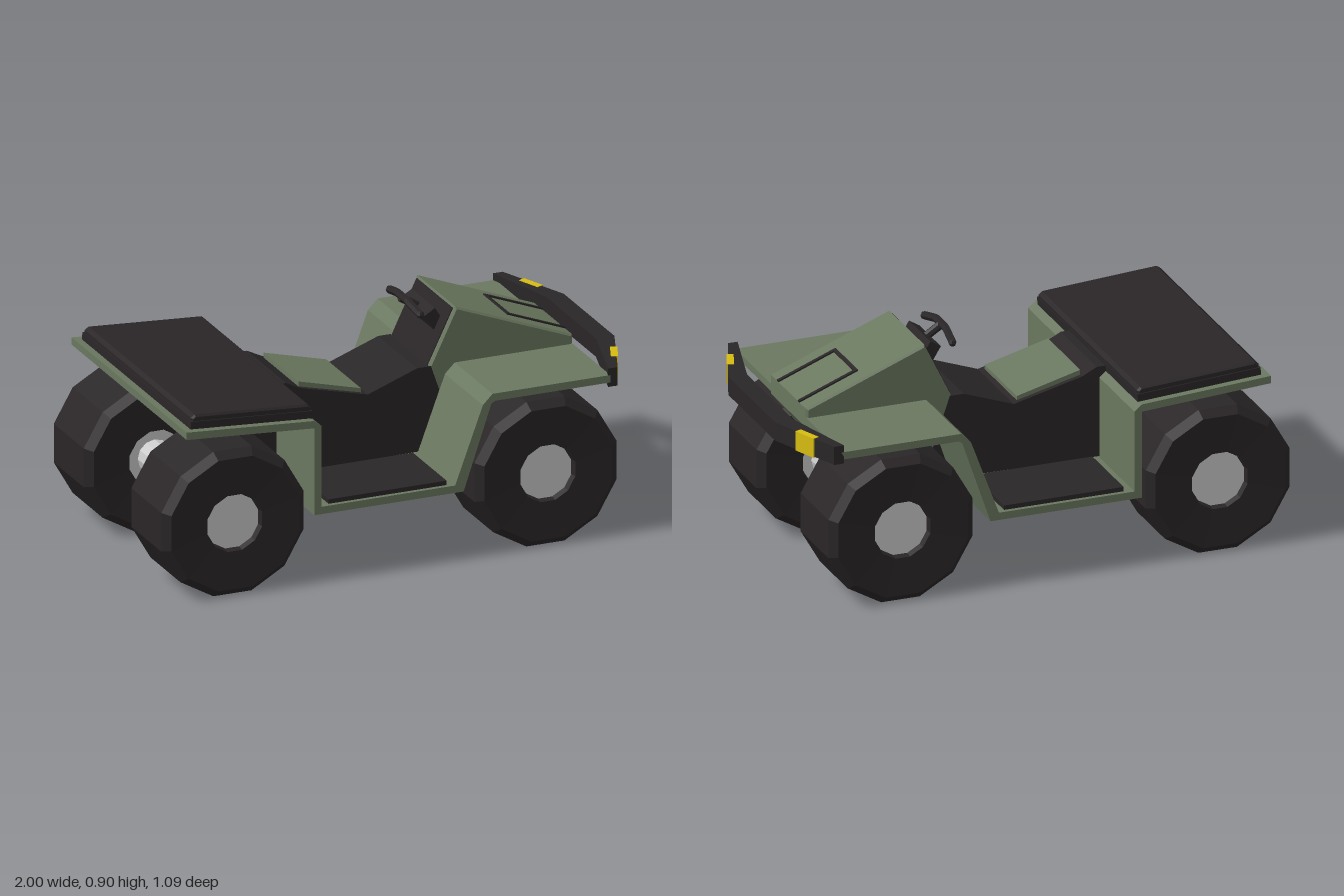
import * as THREE from 'three';

const mat = (color) => new THREE.MeshStandardMaterial({ color, flatShading: true });

export function createModel() {
  const model = new THREE.Group();
  model.name = 'quadVehicle';
  const green = mat(0x6b7860), dark = mat(0x2a2628), grey = mat(0xcccccc);
  const yellow = mat(0xd8bd12), red = mat(0x8a1414);

  const add = (name, geometry, material, parent = model) => {
    const mesh = new THREE.Mesh(geometry, material);
    mesh.name = name;
    parent.add(mesh);
    return mesh;
  };
  const shapeOf = (pts) => new THREE.Shape(pts.map(([x, y]) => new THREE.Vector2(x, y)));
  // Side profile (x, y) extruded over a width centred on z, with an optional chamfer
  const prism = (pts, width, bevel = 0) => new THREE.ExtrudeGeometry(shapeOf(pts), {
    depth: width - 2 * bevel, bevelEnabled: bevel > 0, bevelSize: bevel, bevelOffset: -bevel,
    bevelThickness: bevel, bevelSegments: 1,
  }).translate(0, 0, bevel - width / 2);
  const box = (name, size, pos, material, tilt = 0) => {
    const mesh = add(name, new THREE.BoxGeometry(...size), material);
    mesh.position.set(...pos);
    mesh.rotation.z = tilt;
    return mesh;
  };

  // Bent body panel: rear deck, rear wall, floor, front slope and front fenders
  add('bodyPanel', prism([
    [-0.91, 0.70], [-0.38, 0.665], [-0.35, 0.64], [-0.35, 0.31], [0.205, 0.31],
    [0.32, 0.62], [0.36, 0.66], [0.85, 0.66], [0.85, 0.63], [0.37, 0.63], [0.355, 0.62],
    [0.24, 0.28], [-0.38, 0.28], [-0.38, 0.635], [-0.91, 0.67],
  ], 1.09), green);

  // Central chassis with the saddle on top
  add('chassis', prism([
    [-0.62, 0.63], [-0.39, 0.63], [-0.375, 0.685], [-0.34, 0.685], [-0.28, 0.655], [0, 0.585],
    [0.205, 0.66], [0.36, 0.66], [0.55, 0.44], [0.55, 0.36], [0.31, 0.32], [-0.45, 0.315],
    [-0.62, 0.36],
  ], 0.37), dark);
  add('seatPad', prism([
    [-0.28, 0.675], [-0.02, 0.607], [-0.02, 0.58], [-0.28, 0.645],
  ], 0.33), green);

  // Hood and nose, with a dark dashboard on the rear face
  add('hood', prism([
    [0.255, 0.66], [0.365, 0.886], [0.85, 0.697], [0.85, 0.62], [0.71, 0.44], [0.33, 0.44],
  ], 0.372, 0.008), green);
  add('dashboard', prism([
    [0.25, 0.655], [0.357, 0.878], [0.367, 0.875], [0.265, 0.655],
  ], 0.34), dark);

  // Hatch outline on the hood
  const slope = Math.atan2(-0.189, 0.485);
  const hoodY = (x) => 0.886 + (x - 0.365) * Math.tan(slope);
  for (const s of [-1, 1]) {
    box('hatchEdge', [0.258, 0.012, 0.015], [0.73, hoodY(0.73), s * 0.107], dark, slope);
  }
  box('hatchEdge', [0.015, 0.012, 0.228], [0.616, hoodY(0.616), 0], dark, slope);

  // Cargo bed cover in two layers
  const deckTilt = Math.atan2(-0.035, 0.53);
  box('cargoBase', [0.505, 0.035, 1.03], [-0.628, 0.694, 0], dark, deckTilt);
  const cover = add('cargoCover', prism([
    [-0.25, 0], [-0.25, 0.025], [-0.235, 0.037], [0.235, 0.037], [0.25, 0.025], [0.25, 0],
  ], 1.02, 0.008), dark);
  cover.position.set(-0.627, 0.699, 0);
  cover.rotation.z = deckTilt;

  // Steering column, instrument pod and handlebar
  const column = add('steeringColumn', new THREE.CylinderGeometry(0.017, 0.017, 0.14, 8), dark);
  column.position.set(0.275, 0.845, 0);
  column.rotation.z = 1.0;
  box('instrumentPod', [0.05, 0.075, 0.22], [0.31, 0.818, 0], dark, 0.55);
  const barPath = new THREE.CurvePath();
  const barPts = [[0.235, 0.86, -0.145], [0.225, 0.883, -0.05], [0.225, 0.883, 0.05], [0.235, 0.86, 0.145]]
    .map((p) => new THREE.Vector3(...p));
  for (let i = 0; i < 3; i++) barPath.add(new THREE.LineCurve3(barPts[i], barPts[i + 1]));
  add('handlebar', new THREE.TubeGeometry(barPath, 12, 0.016, 6), dark);
  for (const s of [-1, 1]) {
    add('gripEnd', new THREE.SphereGeometry(0.016, 6, 4), dark).position.set(0.235, 0.86, s * 0.145);
  }

  // Front bumper, drawn in plan
  const bumper = new THREE.ExtrudeGeometry(shapeOf([
    [0.84, -0.545], [0.88, -0.545], [1, -0.24], [1, 0.24], [0.88, 0.545], [0.84, 0.545],
    [0.925, 0.235], [0.925, -0.235],
  ]), { depth: 0.075, bevelEnabled: false });
  add('bumper', bumper.rotateX(Math.PI / 2).translate(0, 0.688, 0), dark);

  for (const s of [-1, 1]) {
    // Headlights wrap the angled ends of the bumper
    const light = box('headlight', [0.028, 0.079, 0.1], [0.931, 0.6505, s * 0.394], yellow);
    light.rotation.y = -s * Math.atan2(0.12, 0.305);
    // Foot mats and tail lights
    box('footMat', [0.49, 0.02, 0.32], [-0.068, 0.318, s * 0.367], dark);
    box('tailLight', [0.02, 0.06, 0.08], [-0.625, 0.47, s * 0.11], red);
  }

  // Wheels: faceted tyre ring with a recessed grey hub
  const R = 0.295 / Math.cos(Math.PI / 12);
  const tyreProfile = [
    [0.11, -0.13], [0.118, -0.165], [R - 0.03, -0.172], [R, -0.142], [R, 0.142],
    [R - 0.03, 0.172], [0.118, 0.165], [0.11, 0.13], [0.11, -0.13],
  ].map(([r, h]) => new THREE.Vector2(r, h));
  const tyre = new THREE.LatheGeometry(tyreProfile, 12, Math.PI / 12).rotateX(Math.PI / 2);
  const hub = new THREE.CylinderGeometry(0.112, 0.112, 0.28, 12, 1, false, Math.PI / 12)
    .rotateX(Math.PI / 2);
  const axle = new THREE.CylinderGeometry(0.07, 0.07, 0.46, 12).rotateX(Math.PI / 2);
  for (const [end, x] of [['front', 0.595], ['rear', -0.705]]) {
    add(end + 'Axle', axle, grey).position.set(x, 0.295, 0);
    for (const s of [-1, 1]) {
      const wheel = new THREE.Group();
      wheel.name = end + 'Wheel';
      wheel.position.set(x, 0.295, s * 0.368);
      add('tyre', tyre, dark, wheel);
      add('hub', hub, grey, wheel);
      model.add(wheel);
    }
  }
  return model;
}
